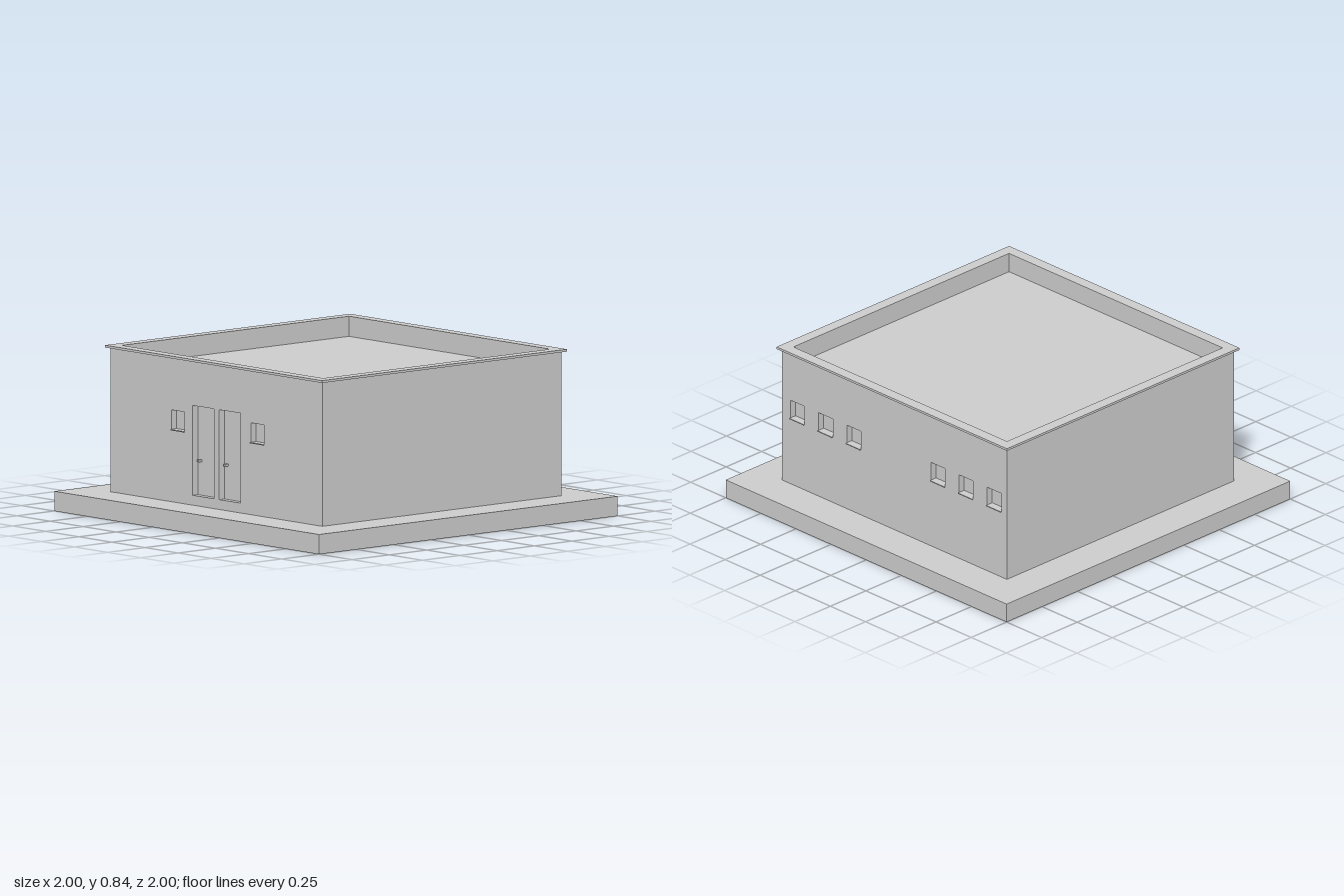
import * as THREE from 'three';

const mat = new THREE.MeshStandardMaterial({ color: 0xcccccc, flatShading: true });
const thinMat = new THREE.MeshStandardMaterial({ color: 0xcccccc, flatShading: true, side: THREE.DoubleSide });

const HALF = 0.8, WALL = 0.04, FLOOR = 0.1, TOP = 0.83;

function add(parent, name, geometry, x = 0, y = 0, z = 0, material = mat) {
  const mesh = new THREE.Mesh(geometry, material);
  mesh.name = name;
  mesh.position.set(x, y, z);
  parent.add(mesh);
  return mesh;
}

const box = (w, h, d) => new THREE.BoxGeometry(w, h, d);

function rect(target, x0, y0, x1, y1) {
  target.moveTo(x0, y0);
  target.lineTo(x1, y0);
  target.lineTo(x1, y1);
  target.lineTo(x0, y1);
  target.closePath();
  return target;
}

// A wall facing +z, with an opening cut for each window and door
function makeWall(name, openings) {
  const wall = new THREE.Group();
  wall.name = name;
  const shape = rect(new THREE.Shape(), -HALF, FLOOR, HALF, TOP);
  for (const o of openings) shape.holes.push(rect(new THREE.Path(), o.x, o.y, o.x + o.w, o.y + o.h));
  add(wall, 'wallPanel', new THREE.ExtrudeGeometry(shape, { depth: WALL, bevelEnabled: false }), 0, 0, HALF - WALL);

  for (const o of openings) {
    const cx = o.x + o.w / 2;
    // Recessed leaf or pane closing the opening
    add(wall, o.kind + 'Panel', box(o.w + 0.01, o.h + 0.01, 0.01), cx, o.y + o.h / 2, HALF - WALL);
    if (o.kind === 'door') {
      add(wall, 'doorHandle', box(0.012, 0.012, 0.025), o.x + 0.025, 0.325, HALF - WALL + 0.015);
    } else {
      // Slim sill projecting just past the wall face
      add(wall, 'windowSill', box(o.w, 0.005, WALL + 0.008), cx, o.y + 0.0025, HALF - WALL / 2 + 0.004);
    }
  }
  return wall;
}

const windowAt = x => ({ kind: 'window', x, y: 0.462, w: 0.1, h: 0.103 });
const doorAt = x => ({ kind: 'door', x, y: 0.15, w: 0.16, h: 0.455 });

export function createModel() {
  const model = new THREE.Group();
  model.name = 'building';

  // Plinth, open underneath
  const plinth = box(2, FLOOR, 2);
  plinth.setIndex([...plinth.index.array].filter((_, i) => i < 18 || i >= 24));
  plinth.clearGroups();
  add(model, 'plinth', plinth, 0, FLOOR / 2, 0, thinMat);

  // Front and back walls
  model.add(makeWall('frontWall', [windowAt(-0.34), doorAt(-0.18), doorAt(0.02), windowAt(0.26)]));
  const back = makeWall('backWall', [-0.74, -0.54, -0.34, 0.26, 0.46, 0.66].map(windowAt));
  back.rotation.y = Math.PI;
  model.add(back);

  // Plain side walls
  for (const [name, s] of [['leftWall', 1], ['rightWall', -1]]) {
    add(model, name, box(WALL, TOP - FLOOR, 2 * (HALF - WALL)), s * (HALF - WALL / 2), (TOP + FLOOR) / 2, 0);
  }

  // Flat roof sunk behind the parapet
  add(model, 'roof', box(2 * (HALF - WALL), 0.04, 2 * (HALF - WALL)), 0, 0.72, 0);

  // Coping around the parapet
  const ring = rect(new THREE.Shape(), -0.82, -0.82, 0.82, 0.82);
  ring.holes.push(rect(new THREE.Path(), -0.76, -0.76, 0.76, 0.76));
  const coping = new THREE.ExtrudeGeometry(ring, { depth: 0.012, bevelEnabled: false });
  coping.rotateX(-Math.PI / 2);
  add(model, 'coping', coping, 0, TOP, 0);

  return model;
}
